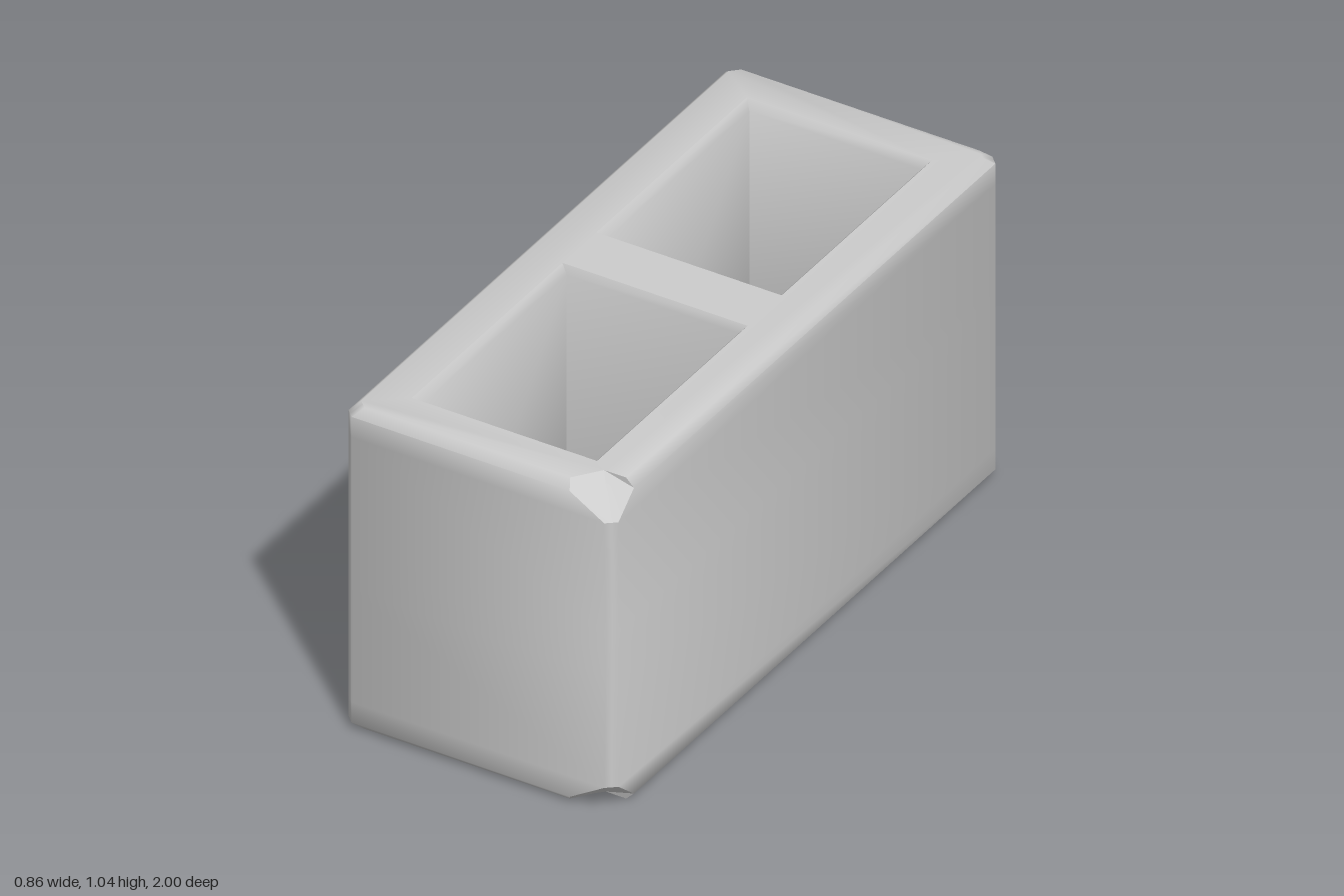
import * as THREE from 'three';
import { toCreasedNormals } from 'three/addons/utils/BufferGeometryUtils.js';

const W = 0.43, H = 1.045, D = 1, BEVEL = 0.025;
const PLAIN = [BEVEL, BEVEL, 0.5, 0.5];

// Cross-sections from bottom to middle: y, inset, cut of the chipped corner, cut of the notched corner.
// A cut is [length along x, length along z, middle point as fractions of both].
const LOWER = [
  [0, BEVEL, [0.13, 0.08, 0.54, 1], PLAIN],
  [0.025, 0, [0.14, 0.105, 0.5, 0.7], PLAIN],
  [0.092, 0, [0.03, 0.025, 0.5, 0.5], PLAIN],
  [0.46, 0, PLAIN, PLAIN],
];
const UPPER = LOWER.slice().reverse().map(([y, ...rest]) => [H - y, ...rest]);
UPPER[0][0] = 0.6;
const LEVELS = [...LOWER, [0.53, 0, PLAIN, [0.19, 0.11, 0.5, 0.5]], ...UPPER];

// Outline of the block at one level, three points per corner
function outline([y, inset, chip, notch]) {
  const X = W - inset, Z = D - inset;
  const corners = [[1, 1, chip], [-1, 1, PLAIN], [-1, -1, notch], [1, -1, PLAIN]];
  return corners.flatMap(([sx, sz, [cx, cz, mx, mz]]) => {
    const pts = [[X, Z - cz], [X - cx * mx, Z - cz * mz], [X - cx, Z]]
      .map(([x, z]) => new THREE.Vector3(sx * x, y, sz * z));
    return sx * sz > 0 ? pts : pts.reverse();
  });
}

// Rectangular ring of a cell opening, on the front (s = 1) or back (s = -1) half
function cellRing(y, s, x, z0, z1) {
  const [a, b] = s > 0 ? [z0, z1] : [-z1, -z0];
  return [[x, a], [x, b], [-x, b], [-x, a]].map(([px, pz]) => new THREE.Vector3(px, y, pz));
}

function cellRings(s) {
  const wide = (y) => cellRing(y, s, 0.295, 0.088, 0.867);
  const narrow = (y) => cellRing(y, s, 0.274, 0.1, 0.845);
  return [wide(0), narrow(BEVEL), narrow(H - BEVEL), wide(H)];
}

// Joins successive rings with quads; pick chooses the triangle list for each quad
function loft(rings, inward, pick) {
  for (let j = 0; j < rings.length - 1; j++) {
    const n = rings[j].length;
    for (let i = 0; i < n; i++) {
      const k = (i + 1) % n;
      const a = rings[j][i], b = rings[j][k], c = rings[j + 1][k], d = rings[j + 1][i];
      pick(i, j).push(...(inward ? [a, b, c, a, c, d] : [a, d, c, a, c, b]));
    }
  }
}

// Flat end face with the two cell openings
function cap(out, contour, holes, up) {
  const flat = (ring) => ring.map((p) => new THREE.Vector2(p.x, p.z));
  const all = [contour, ...holes].flat();
  for (const [i, j, k] of THREE.ShapeUtils.triangulateShape(flat(contour), holes.map(flat))) {
    const a = all[i], b = all[j], c = all[k];
    const ny = (b.z - a.z) * (c.x - a.x) - (b.x - a.x) * (c.z - a.z);
    out.push(...(ny * up > 0 ? [a, b, c] : [a, c, b]));
  }
}

function addMesh(group, name, points, crease) {
  const raw = new THREE.BufferGeometry().setFromPoints(points);
  const mesh = new THREE.Mesh(toCreasedNormals(raw, crease),
    new THREE.MeshStandardMaterial({ color: 0xcccccc }));
  mesh.name = name;
  group.add(mesh);
}

export function createModel() {
  const group = new THREE.Group();
  group.name = 'hollowBlock';
  const shell = [], cells = [], chips = [], notch = [];

  // Outer walls, with the broken faces kept apart so they stay sharp
  const rings = LEVELS.map(outline);
  const last = rings.length - 1;
  loft(rings, false, (i, j) => {
    if (i < 2 && (j < 2 || j >= last - 2)) return chips;
    if ((i === 6 || i === 7) && (j === 3 || j === 4)) return notch;
    return shell;
  });

  // Two open cells and the end faces around them
  const cellSets = [cellRings(1), cellRings(-1)];
  cellSets.forEach((set) => loft(set, true, () => cells));
  cap(shell, rings[0], cellSets.map((set) => set[0]), -1);
  cap(shell, rings[last], cellSets.map((set) => set[3]), 1);

  addMesh(group, 'blockShell', shell, 1);
  addMesh(group, 'cellWalls', cells, 1);
  addMesh(group, 'cornerChips', chips, 0.2);
  addMesh(group, 'edgeNotch', notch, 0.2);
  return group;
}
